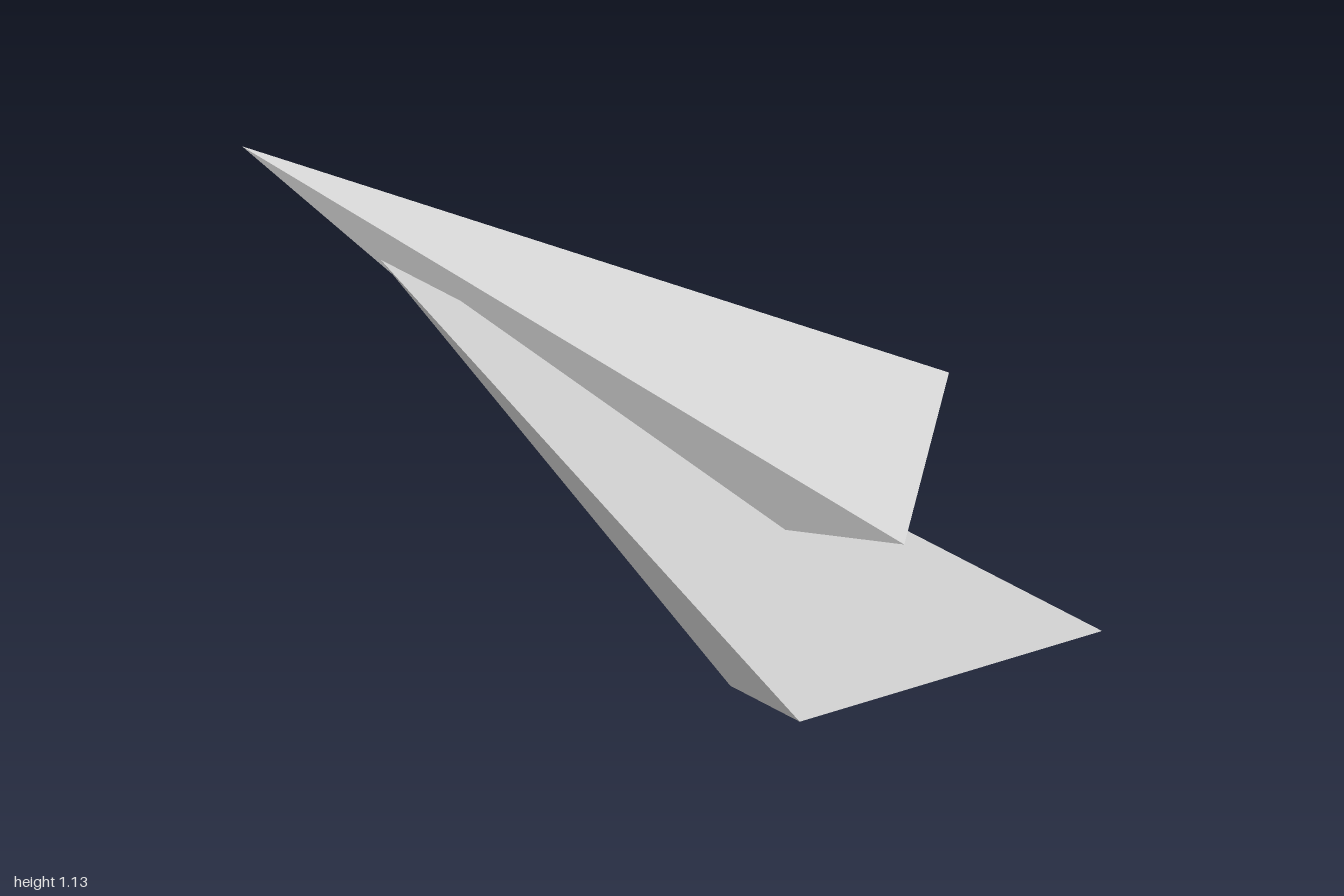
import * as THREE from 'three';
import { ConvexGeometry } from 'three/addons/geometries/ConvexGeometry.js';

const shardGrey = new THREE.MeshStandardMaterial({ color: 0xc8c8c8 });
shardGrey.name = 'shardGrey';

// A pointed splinter: a long tip over a three-cornered base
function shard(name, tip, base) {
  const points = [tip, ...base].map((p) => new THREE.Vector3(...p));
  const mesh = new THREE.Mesh(new ConvexGeometry(points), shardGrey);
  mesh.name = name;
  return mesh;
}

export function createModel() {
  const group = new THREE.Group();
  group.name = 'crossedShards';

  // Upper shard, its underside sunk into the lower one
  group.add(shard('upperShard', [-1, 1.13, 0.355], [
    [0.635, 0.732, -0.29],
    [0.685, 0.406, -0.102],
    [0.075, 0.359, -0.045],
  ]));

  // Lower shard, standing on its base edge
  group.add(shard('lowerShard', [-0.61, 0.89, 0.246], [
    [1, 0.24, -0.355],
    [0.515, 0.01, 0.02],
    [0.23, 0, -0.06],
  ]));

  return group;
}
